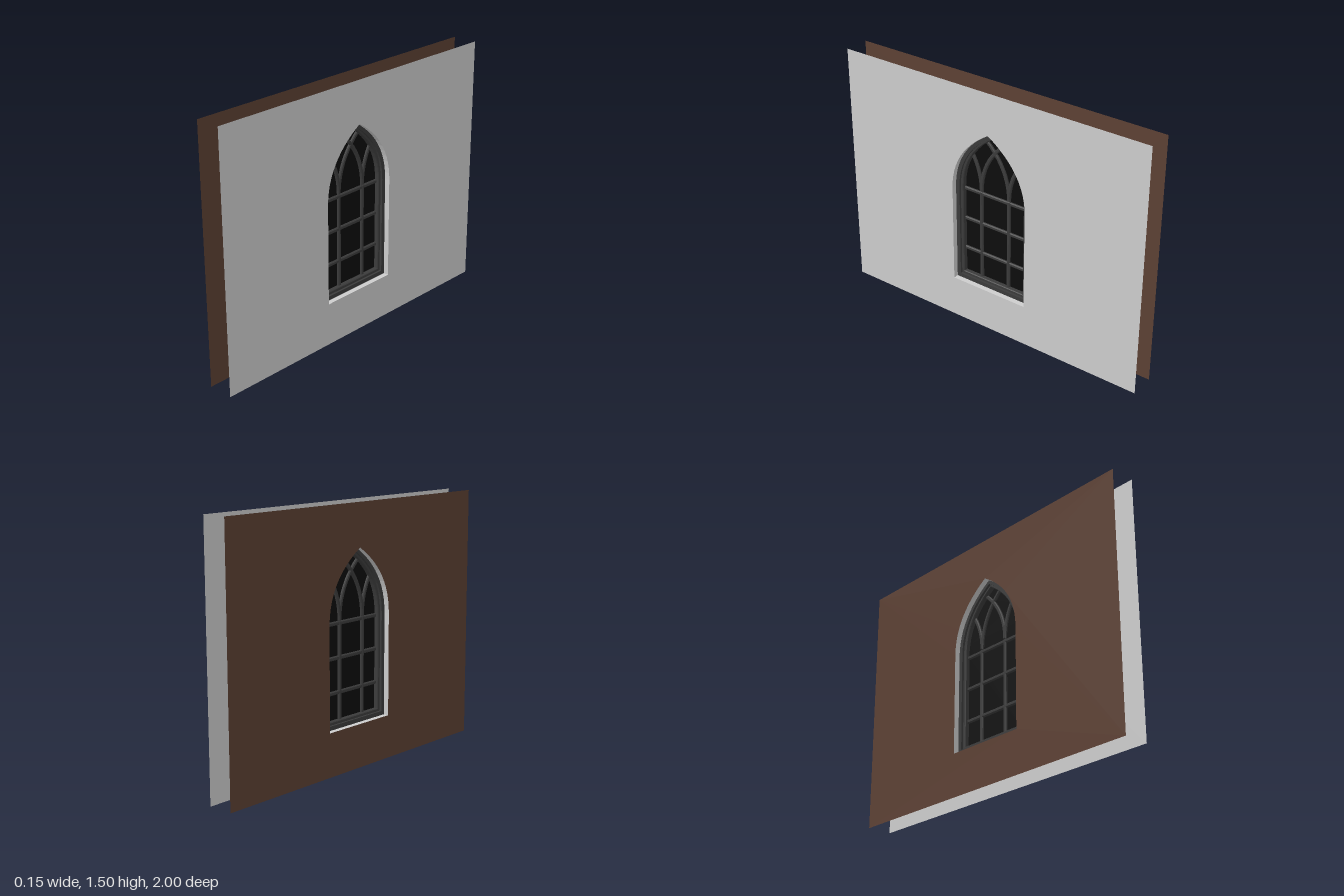
import * as THREE from 'three';

const SPRING = 0.855, ARC_STEPS = 12;

// Point on one half of the pointed arch, inset by d; t runs from springing to apex
function archPoint(t, d = 0) {
  const w = 0.25 - d, a = (1 - t) ** 2, b = 2 * t * (1 - t), c = t * t;
  return new THREE.Vector2(w * (a + b), a * SPRING + b * (1.1 - 0.6 * d) + c * (1.255 - d));
}

// Closed counter-clockwise outline of the lancet opening, inset by d
function lancet(d = 0) {
  const w = 0.25 - d, pts = [new THREE.Vector2(-w, 0.255 + d), new THREE.Vector2(w, 0.255 + d)];
  for (let i = 0; i <= ARC_STEPS; i++) pts.push(archPoint(i / ARC_STEPS, d));
  for (let i = ARC_STEPS - 1; i >= 0; i--) {
    const p = archPoint(i / ARC_STEPS, d);
    pts.push(new THREE.Vector2(-p.x, p.y));
  }
  return pts;
}

// Extrude a shape to +-half depth, with an optional chamfer inside that depth
function slab(shape, half, bevel = 0) {
  const depth = 2 * (half - bevel);
  const geo = new THREE.ExtrudeGeometry(shape, {
    depth, bevelEnabled: bevel > 0, bevelSize: bevel, bevelThickness: bevel,
    bevelOffset: -bevel, bevelSegments: 1,
  });
  return geo.translate(0, 0, -depth / 2);
}

function ring(outer, inner) {
  const shape = new THREE.Shape(lancet(outer));
  shape.holes.push(new THREE.Path(lancet(inner)));
  return shape;
}

// Strip of constant width following a line of points
function strip(points, width) {
  const left = [], right = [];
  points.forEach((p, i) => {
    const a = points[Math.max(i - 1, 0)], b = points[Math.min(i + 1, points.length - 1)];
    const dir = b.clone().sub(a).normalize().multiplyScalar(width / 2);
    left.push(new THREE.Vector2(p.x - dir.y, p.y + dir.x));
    right.push(new THREE.Vector2(p.x + dir.y, p.y - dir.x));
  });
  return new THREE.Shape([...right, ...left.reverse()]);
}

// Open band joining the two wall openings
function revealGeometry(half) {
  const pts = lancet(), pos = [];
  pts.forEach((p, i) => {
    const q = pts[(i + 1) % pts.length];
    pos.push(p.x, p.y, -half, q.x, q.y, half, q.x, q.y, -half);
    pos.push(p.x, p.y, -half, p.x, p.y, half, q.x, q.y, half);
  });
  const geo = new THREE.BufferGeometry();
  geo.setAttribute('position', new THREE.Float32BufferAttribute(pos, 3));
  geo.computeVertexNormals();
  return geo;
}

export function createModel() {
  const plaster = new THREE.MeshStandardMaterial({ color: 0xcccccc, side: THREE.DoubleSide });
  const brown = new THREE.MeshStandardMaterial({ color: 0x5c4033, side: THREE.DoubleSide });
  const iron = new THREE.MeshStandardMaterial({ color: 0x3b3b3b });
  const glass = new THREE.MeshStandardMaterial({ color: 0x0d0d0d });

  // Built facing +z, then turned so the window looks along x
  const body = new THREE.Group();
  body.name = 'windowWall';
  body.rotation.y = Math.PI / 2;
  const add = (name, geo, mat) => {
    const mesh = new THREE.Mesh(geo, mat);
    mesh.name = name;
    body.add(mesh);
    return mesh;
  };

  // Two thin wall faces with the opening cut out
  const wall = new THREE.Shape([[-1, 0], [1, 0], [1, 1.505], [-1, 1.505]].map(([x, y]) => new THREE.Vector2(x, y)));
  wall.holes.push(new THREE.Path(lancet()));
  add('greyWallFace', new THREE.ShapeGeometry(wall), plaster).position.z = 0.075;
  const back = add('brownWallFace', new THREE.ShapeGeometry(wall), brown);
  back.position.z = -0.075;
  back.rotation.y = Math.PI;
  add('reveal', revealGeometry(0.075), plaster);

  // Stepped frame and glass
  add('outerFrame', slab(ring(-0.02, 0.024), 0.043), iron);
  add('innerFrame', slab(ring(0.02, 0.041), 0.03, 0.004), iron);
  add('glassPane', slab(new THREE.Shape(lancet(0.03)), 0.003), glass);

  // Glazing bars
  const bar = (name, pts, half = 0.016) => add(name, slab(strip(pts, 0.022), half, 0.005), iron);
  const V = (x, y) => new THREE.Vector2(x, y);
  for (const y of [0.45, 0.647, 0.842]) bar('crossBar', [V(-0.22, y), V(0.22, y)], 0.015);

  // Mullions that branch into intersecting tracery arcs
  for (const s of [-1, 1]) {
    bar('mullion', [V(s * 0.095, 0.28), V(s * 0.095, SPRING)]);
    const arc = (end, toZ) => Array.from({ length: 11 }, (_, i) => {
      const p = archPoint((end * i) / 10);
      return V(s * toZ(p.x), p.y);
    });
    bar('innerTraceryArc', arc(0.79, (x) => x - 0.155));
    bar('outerTraceryArc', arc(0.49, (x) => 0.345 - x));
  }

  const model = new THREE.Group();
  model.name = 'lancetWindow';
  model.add(body);
  return model;
}
